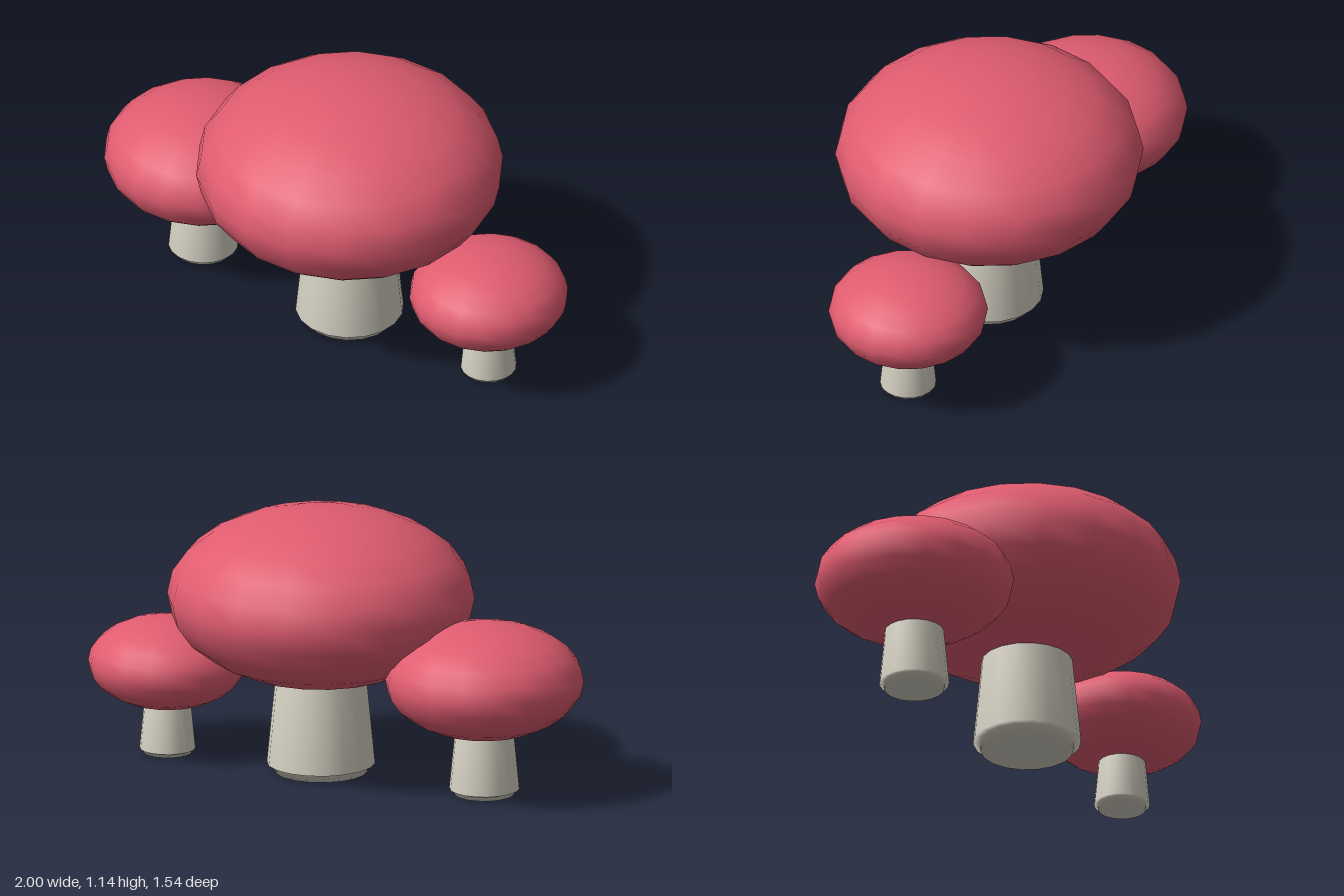
import * as THREE from 'three';

const SIDES = 18;

export function createModel() {
  const capRed = new THREE.MeshStandardMaterial({ color: 0xe05c70 });
  capRed.name = 'capRed';
  const stemCream = new THREE.MeshStandardMaterial({ color: 0xd9d4c6 });
  stemCream.name = 'stemCream';

  // Cap: flattened smooth sphere, unit radius, corners on the z axis
  const capGeometry = new THREE.SphereGeometry(1, SIDES, 12);
  capGeometry.rotateY(Math.PI / 2);
  capGeometry.scale(1, 0.575, 1);
  capGeometry.translate(0, 1.178, 0);

  // Stem: narrow foot, overhanging lip, tapering up into the cap
  const stemProfile = [
    [0, 0], [0.302, 0], [0.302, 0.056], [0.352, 0.056], [0.297, 0.62], [0.285, 0.75],
  ].map(([r, y]) => new THREE.Vector2(r, y));
  const stemGeometry = new THREE.LatheGeometry(stemProfile, SIDES);

  // One mushroom, sized by its cap radius
  function mushroom(name, x, z, radius) {
    const group = new THREE.Group();
    group.name = name;
    const cap = new THREE.Mesh(capGeometry, capRed);
    cap.name = 'cap';
    const stem = new THREE.Mesh(stemGeometry, stemCream);
    stem.name = 'stem';
    group.add(cap, stem);
    group.position.set(x, 0, z);
    group.scale.setScalar(radius);
    return group;
  }

  const model = new THREE.Group();
  model.name = 'mushroomCluster';
  model.add(
    mushroom('largeMushroom', 0.057, 0.077, 0.648),
    mushroom('mediumMushroom', -0.587, -0.354, 0.42),
    mushroom('smallMushroom', 0.667, 0.435, 0.335),
  );
  return model;
}
